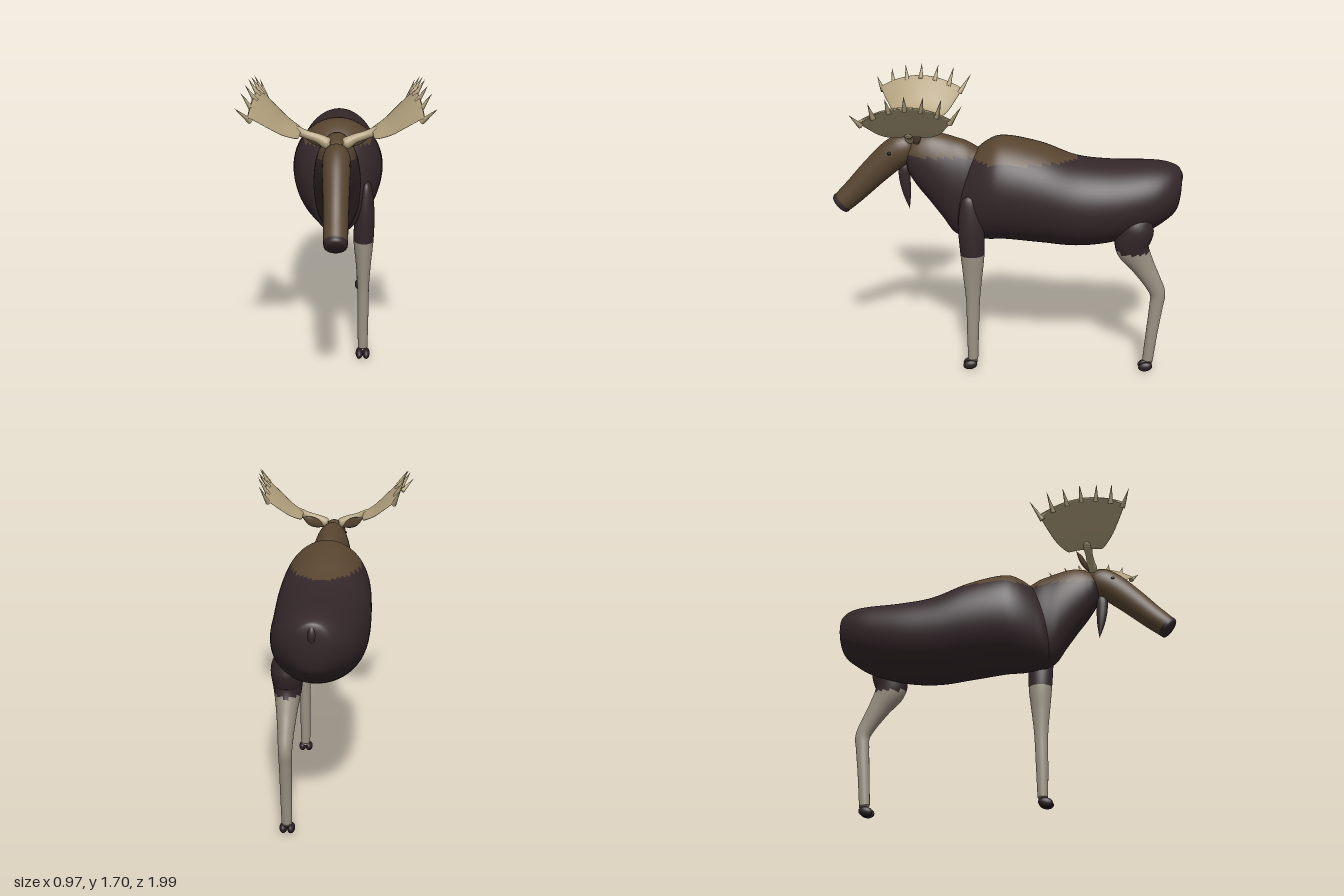
import * as THREE from 'three';

const paint = (name, color) => Object.assign(new THREE.MeshStandardMaterial({ color }), { name });
const V = (x, y, z) => new THREE.Vector3(x, y, z);

// Smooth closed skin through oval sections [x, y, z, radiusAcross, radiusUp].
// Faces whose centre passes "isSecond" get the second material.
function loft(rows, { rings = 40, sides = 32, dir = null, side = V(1, 0, 0), warp = null, isSecond = null } = {}) {
  const path = new THREE.CatmullRomCurve3(rows.map(r => V(r[0], r[1], r[2])), false, 'catmullrom');
  const size = new THREE.CatmullRomCurve3(rows.map(r => V(r[3], r[4], 0)), false, 'catmullrom');
  const pts = [];
  for (let i = 0; i <= rings; i++) {
    const t = i / rings, c = path.getPoint(t), s = size.getPoint(t);
    const d = dir ? dir.clone().normalize() : path.getTangent(t);
    const v = d.clone().cross(side).normalize(), u = v.clone().cross(d);
    for (let j = 0; j < sides; j++) {
      const a = j / sides * Math.PI * 2;
      const p = c.clone().addScaledVector(u, Math.max(0, s.x) * Math.cos(a))
        .addScaledVector(v, Math.max(0, s.y) * Math.sin(a));
      if (warp) warp(p, t, Math.cos(a));
      pts.push(p);
    }
  }
  const sets = [[], []];
  for (let i = 0; i < rings; i++) for (let j = 0; j < sides; j++) {
    const k = (j + 1) % sides, a = i * sides + j, b = i * sides + k;
    const mid = pts[a].clone().add(pts[b]).add(pts[a + sides]).add(pts[b + sides]).multiplyScalar(0.25);
    sets[isSecond && isSecond(mid) ? 1 : 0].push(a, b, a + sides, b, b + sides, a + sides);
  }
  const geo = new THREE.BufferGeometry().setFromPoints(pts);
  geo.setIndex([...sets[0], ...sets[1]]);
  geo.addGroup(0, sets[0].length, 0);
  geo.addGroup(sets[0].length, sets[1].length, 1);
  geo.computeVertexNormals();
  return geo;
}

export function createModel() {
  const model = new THREE.Group();
  model.name = 'antleredAnimal';
  const dark = paint('darkFur', 0x34272a), brown = paint('brownFur', 0x574430);
  const stocking = paint('paleLeg', 0x9b9283), horn = paint('antler', 0xb2a17e);
  const hoofMat = paint('hoof', 0x2b2023), black = paint('eye', 0x120e0c);

  const add = (name, geo, mat, parent = model) => {
    const m = new THREE.Mesh(geo, mat);
    m.name = name;
    parent.add(m);
    return m;
  };
  const ball = (name, pos, radii, mat, parent = model) => {
    const m = add(name, new THREE.SphereGeometry(1, 20, 14), mat, parent);
    m.position.set(...pos);
    m.scale.set(...radii);
    return m;
  };
  // [z, top, bottom, halfWidth] -> upright oval section
  const upright = ([z, top, bottom, w]) => [0, (top + bottom) / 2, z, w, (top - bottom) / 2];
  const forward = V(0, 0, 1);

  // Body with brown saddle
  add('body', loft([
    [-0.99, 1.13, 1.13, 0], [-0.983, 1.195, 1.03, 0.07], [-0.96, 1.22, 0.955, 0.12], [-0.9, 1.24, 0.9, 0.175],
    [-0.8, 1.248, 0.84, 0.217], [-0.6, 1.248, 0.775, 0.25], [-0.4, 1.27, 0.753, 0.262], [-0.2, 1.345, 0.768, 0.262],
    [0, 1.385, 0.785, 0.25], [0.1, 1.36, 0.782, 0.228], [0.2, 1.27, 0.79, 0.172], [0.27, 1.14, 0.81, 0.11],
    [0.3, 0.98, 0.98, 0],
  ].map(upright), { rings: 96, sides: 64, dir: forward, isSecond: p => p.y > 1.267 && p.z > -0.41 }), [dark, brown]);

  // Neck and chest with brown mane
  add('neck', loft([
    [0.08, 1.05, 1.05, 0], [0.12, 1.27, 0.83, 0.1], [0.2, 1.345, 0.79, 0.125], [0.29, 1.378, 0.81, 0.128],
    [0.36, 1.398, 0.905, 0.122], [0.43, 1.405, 1.0, 0.11], [0.5, 1.385, 1.09, 0.09], [0.55, 1.34, 1.175, 0.06],
    [0.565, 1.26, 1.26, 0],
  ].map(upright), { rings: 56, sides: 56, dir: forward, isSecond: p => p.y > 1.282 }), [dark, brown]);

  // Long head with dark muzzle
  add('head', loft([
    [0, 1.345, 0.503, 0, 0], [0, 1.335, 0.525, 0.05, 0.052], [0, 1.313, 0.57, 0.07, 0.085],
    [0, 1.27, 0.64, 0.072, 0.087], [0, 1.17, 0.75, 0.066, 0.079], [0, 1.07, 0.85, 0.062, 0.07],
    [0, 1.0, 0.925, 0.06, 0.063], [0, 0.975, 0.955, 0.052, 0.056], [0, 0.968, 0.963, 0, 0],
  ], { rings: 64, isSecond: p => 0.76 * (p.z - 0.933) - 0.65 * (p.y - 1) > 0 }), [brown, dark]);

  // Throat flap and tail
  add('throatFlap', loft([
    [0, 1.24, 0.575, 0, 0], [0, 1.2, 0.577, 0.02, 0.03], [0, 1.13, 0.575, 0.022, 0.032],
    [0, 1.04, 0.565, 0.016, 0.022], [0, 0.95, 0.553, 0, 0],
  ], { rings: 20, sides: 16 }), dark);
  ball('tail', [0, 1.15, -0.97], [0.025, 0.05, 0.028], dark);

  // Two-toed hooves
  const foot = (name, z) => {
    for (const s of [-1, 1])
      ball(name, [0.147 + s * 0.02, 0.036, z], [0.021, 0.028, 0.042], hoofMat).rotation.x = 0.2;
  };

  // Front leg
  add('frontLeg', loft([
    [0.16, 1.085, 0.2, 0, 0], [0.16, 1.06, 0.2, 0.025, 0.04], [0.157, 0.99, 0.197, 0.042, 0.06],
    [0.152, 0.88, 0.192, 0.055, 0.073], [0.147, 0.73, 0.187, 0.056, 0.068], [0.147, 0.58, 0.187, 0.042, 0.053],
    [0.147, 0.44, 0.187, 0.033, 0.04], [0.147, 0.26, 0.189, 0.031, 0.035], [0.147, 0.09, 0.19, 0.028, 0.03],
    [0.147, 0.07, 0.19, 0.025, 0.026], [0.147, 0.068, 0.19, 0, 0],
  ], { rings: 80, sides: 28, isSecond: p => p.y < 0.73 }), [dark, stocking]);
  foot('frontHoof', 0.207);

  // Hind leg with bent hock
  add('hindLeg', loft([
    [0.15, 0.995, -0.765, 0, 0], [0.15, 0.97, -0.76, 0.05, 0.06], [0.148, 0.9, -0.735, 0.082, 0.1],
    [0.147, 0.79, -0.715, 0.074, 0.096], [0.147, 0.68, -0.775, 0.055, 0.068], [0.147, 0.58, -0.835, 0.042, 0.052],
    [0.147, 0.5, -0.872, 0.036, 0.044], [0.147, 0.42, -0.868, 0.033, 0.039], [0.147, 0.26, -0.852, 0.031, 0.034],
    [0.147, 0.09, -0.837, 0.028, 0.031], [0.147, 0.075, -0.836, 0.025, 0.026], [0.147, 0.072, -0.836, 0, 0],
  ], { rings: 80, sides: 28, isSecond: p => p.y < 0.76 }), [dark, stocking]);
  foot('hindHoof', -0.822);

  // Eyes, ears and antlers, mirrored
  for (const s of [1, -1]) {
    const half = new THREE.Group();
    half.name = s > 0 ? 'leftHeadgear' : 'rightHeadgear';
    half.scale.x = s;
    model.add(half);
    ball('eye', [0.069, 1.297, 0.65], [0.006, 0.009, 0.01], black, half);
    add('ear', loft([
      [0.06, 1.365, 0.512, 0.008, 0.006], [0.1, 1.385, 0.493, 0.026, 0.009],
      [0.14, 1.405, 0.474, 0.026, 0.008], [0.185, 1.43, 0.453, 0, 0],
    ], { rings: 14, sides: 16, side: V(0, 1, 0) }), brown, half);
    add('antlerBeam', loft([
      [0.03, 1.375, 0.53, 0, 0], [0.045, 1.38, 0.53, 0.03, 0.03], [0.09, 1.405, 0.527, 0.024, 0.025],
      [0.15, 1.425, 0.524, 0.021, 0.022], [0.21, 1.45, 0.52, 0.026, 0.022], [0.24, 1.475, 0.52, 0, 0],
    ], { rings: 24, sides: 16, side: V(0, 0, 1) }), horn, half);

    // Broad palm whose front and rear edges droop
    const droop = (t, c) => -0.085 * t * c * c;
    add('antlerPalm', loft([
      [0.185, 1.433, 0.508, 0.08, 0], [0.195, 1.443, 0.508, 0.105, 0.014], [0.26, 1.492, 0.508, 0.16, 0.012],
      [0.33, 1.562, 0.51, 0.205, 0.01], [0.4, 1.632, 0.512, 0.245, 0.007], [0.403, 1.635, 0.512, 0.246, 0],
    ], {
      rings: 30, sides: 48, dir: V(0.75, 0.66, 0), side: V(0, 0, 1),
      warp: (p, t, c) => { p.y += droop(t, c); p.x += 0.025 * t * c; },
    }), horn, half);

    // Tines along the outer rim: rim position c, then tip
    for (const [c, x, y, z] of [
      [0.95, 0.487, 1.62, 0.785], [0.68, 0.465, 1.675, 0.69], [0.34, 0.45, 1.695, 0.605], [0, 0.443, 1.708, 0.508],
      [-0.34, 0.437, 1.7, 0.41], [-0.68, 0.43, 1.69, 0.318], [-0.95, 0.41, 1.652, 0.215],
    ]) {
      const base = V(0.39 + 0.025 * c, 1.622 + droop(1, c), 0.512 + 0.24 * c), tip = V(x, y, z);
      const axis = tip.clone().sub(base);
      const tine = add('tine', new THREE.ConeGeometry(0.015, axis.length(), 10), horn, half);
      tine.position.copy(base).addScaledVector(axis, 0.5);
      tine.quaternion.setFromUnitVectors(V(0, 1, 0), axis.clone().normalize());
    }
  }
  return model;
}
